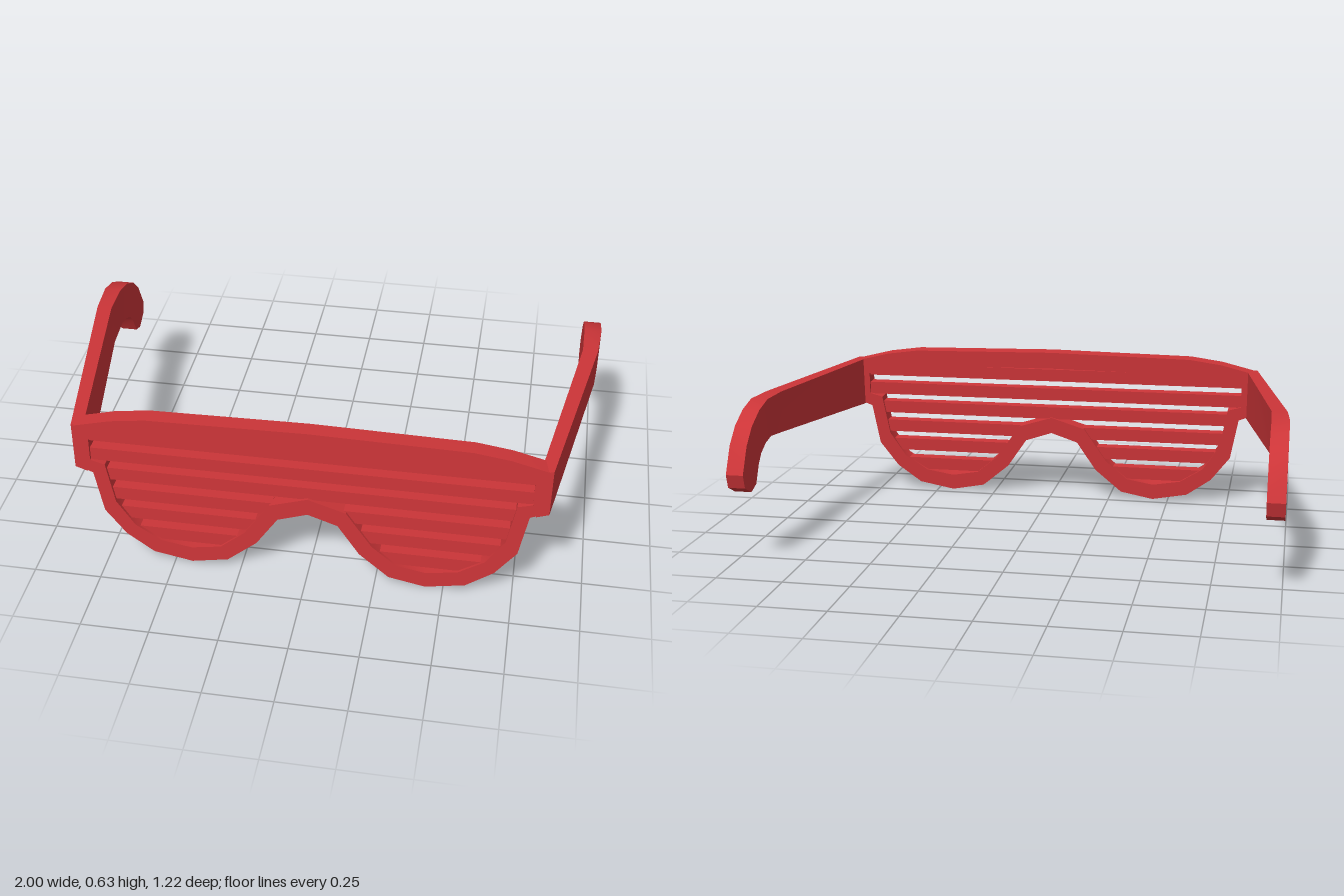
import * as THREE from 'three';
import { toCreasedNormals } from 'three/addons/utils/BufferGeometryUtils.js';

const red = new THREE.MeshStandardMaterial({ color: 0xcc3538 });
red.name = 'red plastic';

// Mirror a right-half outline (top centre to bottom centre) into a closed loop
const mirrored = (half) => [
  ...half,
  ...half.slice(1, -1).reverse().map(([x, y]) => [-x, y]),
].map(([x, y]) => new THREE.Vector2(x, y));

function part(name, geometry) {
  const mesh = new THREE.Mesh(geometry, red);
  mesh.name = name;
  return mesh;
}

// Front rim: one continuous opening across both eyes
function rim(depth) {
  const outer = [[0, 0.625], [0.58, 0.615], [0.71, 0.597], [0.85, 0.562], [0.85, 0.39],
    [0.788, 0.365], [0.757, 0.2], [0.68, 0.1], [0.58, 0.029], [0.435, 0.002],
    [0.3, 0.028], [0.19, 0.12], [0.11, 0.238], [0, 0.275]];
  const inner = [[0, 0.557], [0.57, 0.55], [0.71, 0.532], [0.795, 0.508], [0.795, 0.42],
    [0.742, 0.405], [0.712, 0.245], [0.645, 0.145], [0.55, 0.085], [0.435, 0.066],
    [0.325, 0.085], [0.235, 0.16], [0.14, 0.298], [0, 0.342]];
  // Outline anticlockwise, hole clockwise, so that every wall faces outwards
  const shape = new THREE.Shape(mirrored(outer).reverse());
  shape.holes.push(new THREE.Path(mirrored(inner)));
  const geometry = new THREE.ExtrudeGeometry(shape, { depth, bevelEnabled: false });
  return toCreasedNormals(geometry.translate(0, 0, -depth / 2), 0.6);
}

// Plan of the arm: distance from the centre at depth z
const outerX = (z) => z > -0.19 ? 0.855 + (0.585 - z) * 0.174 : Math.min(1, 0.99 - (z + 0.19) * 0.077);
const innerX = (z) => Math.min(0.935, 0.81 + (0.585 - z) * 0.158);

// Arm with a hooked ear end, lofted through four-cornered sections
function arm(side) {
  // top z, top y, bottom z, bottom y, drop of the inner lower edge
  const stations = [
    [0.585, 0.566, 0.593, 0.384, 0.016], [-0.19, 0.569, -0.19, 0.416, 0.006],
    [-0.33, 0.569, -0.31, 0.422, 0], [-0.42, 0.546, -0.37, 0.409, 0],
    [-0.5, 0.503, -0.42, 0.382, 0], [-0.56, 0.443, -0.45, 0.347, 0],
    [-0.61, 0.345, -0.483, 0.281, 0], [-0.595, 0.293, -0.535, 0.263, 0],
  ];
  const positions = [];
  for (const [tz, ty, bz, by, drop] of stations) {
    positions.push(side * outerX(tz), ty, tz, side * innerX(tz), ty, tz,
      side * innerX(bz), by - drop, bz, side * outerX(bz), by, bz);
  }
  const index = [];
  const quad = (a, b, c, d) => index.push(...(side > 0 ? [a, b, c, a, c, d] : [a, c, b, a, d, c]));
  const last = (stations.length - 1) * 4;
  for (let i = 0; i < last; i += 4) {
    for (let j = 0; j < 4; j++) {
      const k = (j + 1) % 4;
      quad(i + j, i + 4 + j, i + 4 + k, i + k);
    }
  }
  quad(0, 1, 2, 3);
  quad(last + 3, last + 2, last + 1, last);
  const geometry = new THREE.BufferGeometry();
  geometry.setAttribute('position', new THREE.Float32BufferAttribute(positions, 3));
  geometry.setIndex(index);
  return toCreasedNormals(geometry, 0.6);
}

export function createModel() {
  const model = new THREE.Group();
  model.name = 'shutterGlasses';

  // Front, leaning slightly back
  const front = new THREE.Group();
  front.name = 'front';
  front.position.set(0, 0, 0.58);
  front.rotation.x = -0.045;
  front.add(part('rim', rim(0.066)));

  // Slats: centre height, start and end distance from the middle
  const slats = [[0.525, 0, 0.81], [0.442, 0, 0.81], [0.36, 0, 0.757],
    [0.276, 0.13, 0.738], [0.194, 0.175, 0.71], [0.11, 0.24, 0.65]];
  for (const [y, from, to] of slats) {
    const spans = from === 0 ? [[-to, to]] : [[from, to], [-to, -from]];
    for (const [a, b] of spans) {
      const slat = part('slat', new THREE.BoxGeometry(b - a, 0.051, 0.046));
      slat.position.set((a + b) / 2, y, 0);
      front.add(slat);
    }
  }
  model.add(front);

  model.add(part('leftArm', arm(1)), part('rightArm', arm(-1)));
  return model;
}
